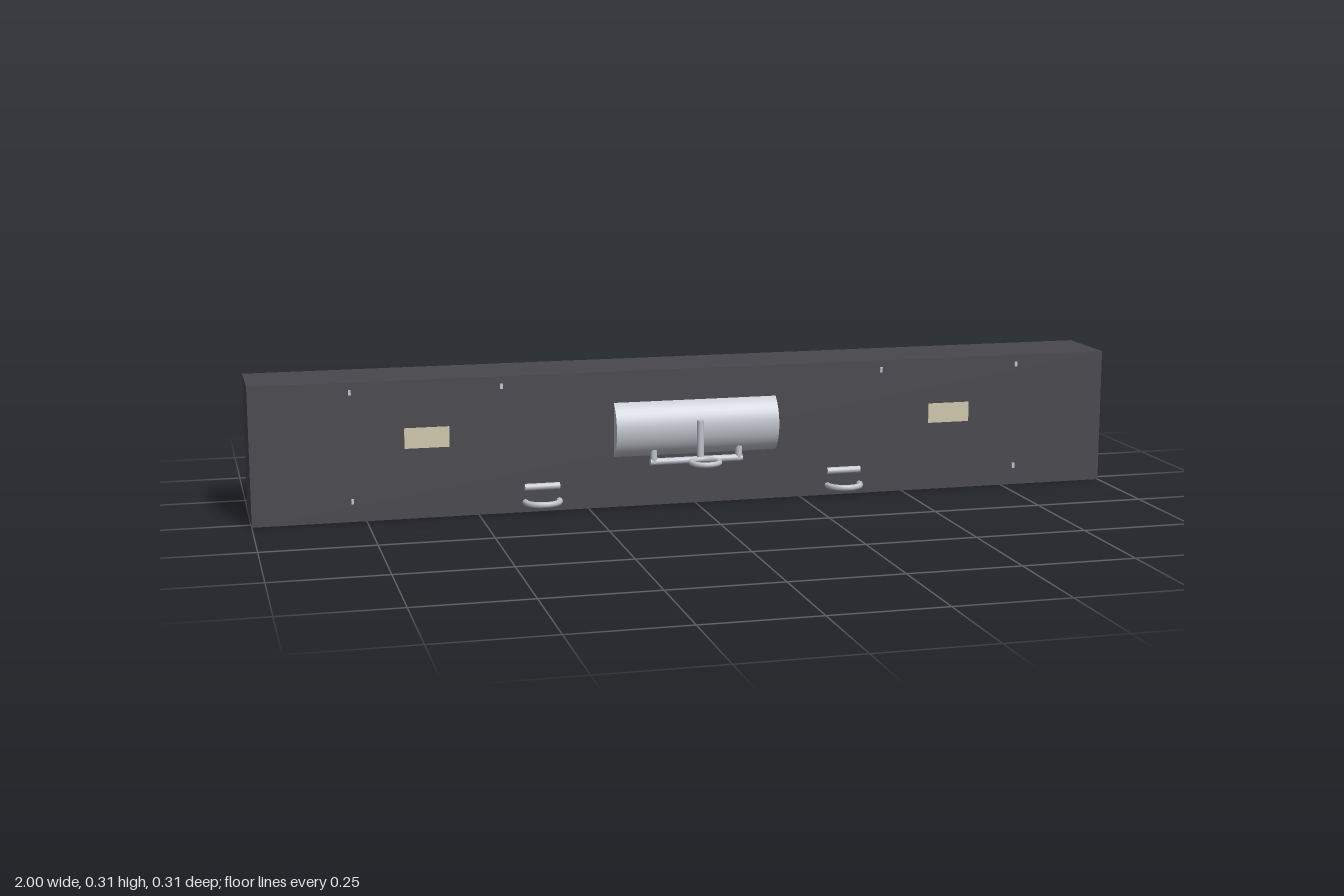
import * as THREE from 'three';

export function createModel() {
  const model = new THREE.Group();
  const mat = (name, color) => {
    const m = new THREE.MeshStandardMaterial({ color });
    m.name = name;
    return m;
  };
  const dark = mat('charcoal', 0x49484d);
  const metal = mat('pale steel', 0xc0c4cb);
  const cream = mat('cream', 0xd0c8ae);
  const FACE = 0.026; // z of the front face

  const add = (name, geometry, material, x, y, z) => {
    const mesh = new THREE.Mesh(geometry, material);
    mesh.name = name;
    mesh.position.set(x, y, z);
    model.add(mesh);
    return mesh;
  };
  const rod = (r, length) => new THREE.CylinderGeometry(r, r, length, 16);

  // Long beam
  add('beam', new THREE.BoxGeometry(2, 0.312, 0.178), dark, 0, 0.156, -0.063);

  // Drum lying along the beam, partly sunk into the front
  add('drum', new THREE.CylinderGeometry(0.077, 0.077, 0.38, 48), metal, 0, 0.178, -0.019)
    .rotation.z = Math.PI / 2;

  // Bracket under the drum: a bar with upturned ends
  add('bracketBar', rod(0.008, 0.216), metal, 0, 0.102, 0.035).rotation.z = Math.PI / 2;
  for (const s of [-1, 1]) {
    add('bracketEnd', rod(0.008, 0.032), metal, s * 0.1, 0.115, 0.035);
  }

  // Upright pin with a pull ring at its foot
  add('pin', rod(0.008, 0.088), metal, 0, 0.156, 0.071);
  add('pullRing', new THREE.TorusGeometry(0.032, 0.0063, 8, 32), metal, 0, 0.112, 0.115)
    .rotation.x = Math.PI / 2;

  for (const s of [-1, 1]) {
    // Lower hoops, half sunk, each with a short rod above
    add('hoop', new THREE.TorusGeometry(0.039, 0.007, 8, 32), metal, s * 0.356, 0.023, 0.028)
      .rotation.x = Math.PI / 2;
    add('hoopRod', rod(0.008, 0.08), metal, s * 0.356, 0.057, FACE)
      .rotation.z = Math.PI / 2;

    // Cream panels
    add('panel', new THREE.BoxGeometry(0.1, 0.046, 0.004), cream, s * 0.613, 0.182, FACE);

    // Small bolts
    for (const [x, y] of [[0.78, 0.29], [0.445, 0.29], [0.78, 0.046]]) {
      add('bolt', new THREE.BoxGeometry(0.006, 0.012, 0.005), metal, s * x, y, FACE);
    }
  }
  return model;
}
